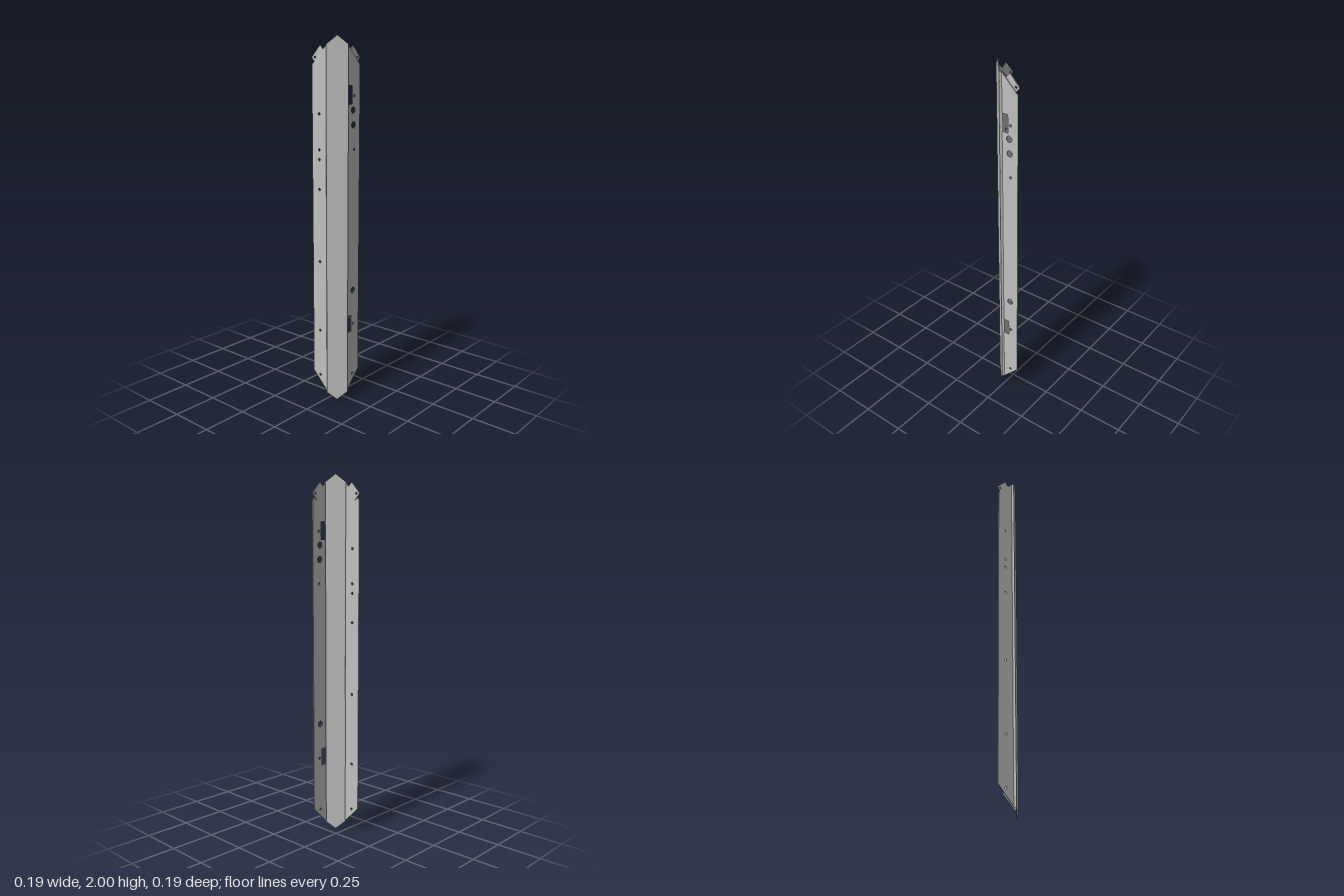
import * as THREE from 'three';

const T = 0.005; // sheet thickness

export function createModel() {
  const model = new THREE.Group();
  model.name = 'anglePost';
  const steel = new THREE.MeshStandardMaterial({ color: 0xc0c0c0 });
  steel.name = 'steel';

  // Flat sheet: outline [u, y] with round holes [u, y, r], turned about y
  function plate(name, outline, holes, x, z, angle, depth = T) {
    const shape = new THREE.Shape(outline.map(([u, y]) => new THREE.Vector2(u, y)));
    for (const [u, y, r] of holes) {
      const hole = new THREE.Path();
      hole.absarc(u, y, r, 0, Math.PI * 2, true);
      shape.holes.push(hole);
    }
    const geometry = new THREE.ExtrudeGeometry(shape, { depth, bevelEnabled: false, curveSegments: 10 });
    const mesh = new THREE.Mesh(geometry, steel);
    mesh.name = name;
    mesh.position.set(x, 0, z);
    mesh.rotation.y = angle;
    model.add(mesh);
  }

  // Diagonal web with pointed ends
  const W = 0.115, off = 0.004 * Math.SQRT1_2;
  plate('web', [[0, 0.045], [W / 2, 0], [W, 0.045], [W, 1.955], [W / 2, 2], [0, 1.955]],
    [], -0.094 + off, 0.0125 - off, -Math.PI / 4, 0.004);

  // Short return bends joining the web to the flanges
  const bend = [[0.004, 0.05], [0.0165, 0.05], [0.0165, 1.95], [0.004, 1.95]];
  plate('frontBend', bend, [], -0.0125 - off, 0.094 - off, Math.PI / 4, 0.004);
  plate('sideBend', bend, [], -0.094, 0.0125, Math.PI / 4, 0.004);

  // Flange outline with sloped ends; notches are cut into the bend edge
  function flange(notches) {
    const points = [[-0.003, 0.055], [0, 0.055], [0.093, 0.15], [0.093, 1.855], [0, 1.947], [-0.003, 1.947]];
    for (const [low, high] of notches) {
      points.push([-0.003, high], [0.032, high], [0.032, low], [-0.003, low]);
    }
    return points;
  }

  const big = 0.017, small = 0.007;
  plate('frontFlange', flange([[1.653, 1.748], [0.395, 0.49]]), [
    [0.04, 1.622, big], [0.042, 1.545, big], [0.042, 0.635, big],
    [0.048, 1.695, small], [0.048, 1.415, small], [0.048, 0.437, small], [0.042, 0.135, small],
  ], 0, 0.08, 0);

  const sideHoles = [1.603, 1.415, 1.363, 1.203, 0.802, 0.402, 0.135].map((y) => [0.045, y, small]);
  plate('sideFlange', flange([]), sideHoles, -0.085, 0, Math.PI / 2);

  // Sloping fixing tabs on the inner faces at the top
  const tab = [[0.009, 1.919], [0.068, 1.858], [0.094, 1.884], [0.097, 1.889], [0.096, 1.895],
    [0.047, 1.947], [0.042, 1.95], [0.036, 1.946]];
  const tabHole = [[0.077, 1.891, 0.006]];
  plate('frontTab', tab, tabHole, 0, 0.075, 0);
  plate('sideTab', tab, tabHole, -0.08, 0, Math.PI / 2);

  return model;
}
